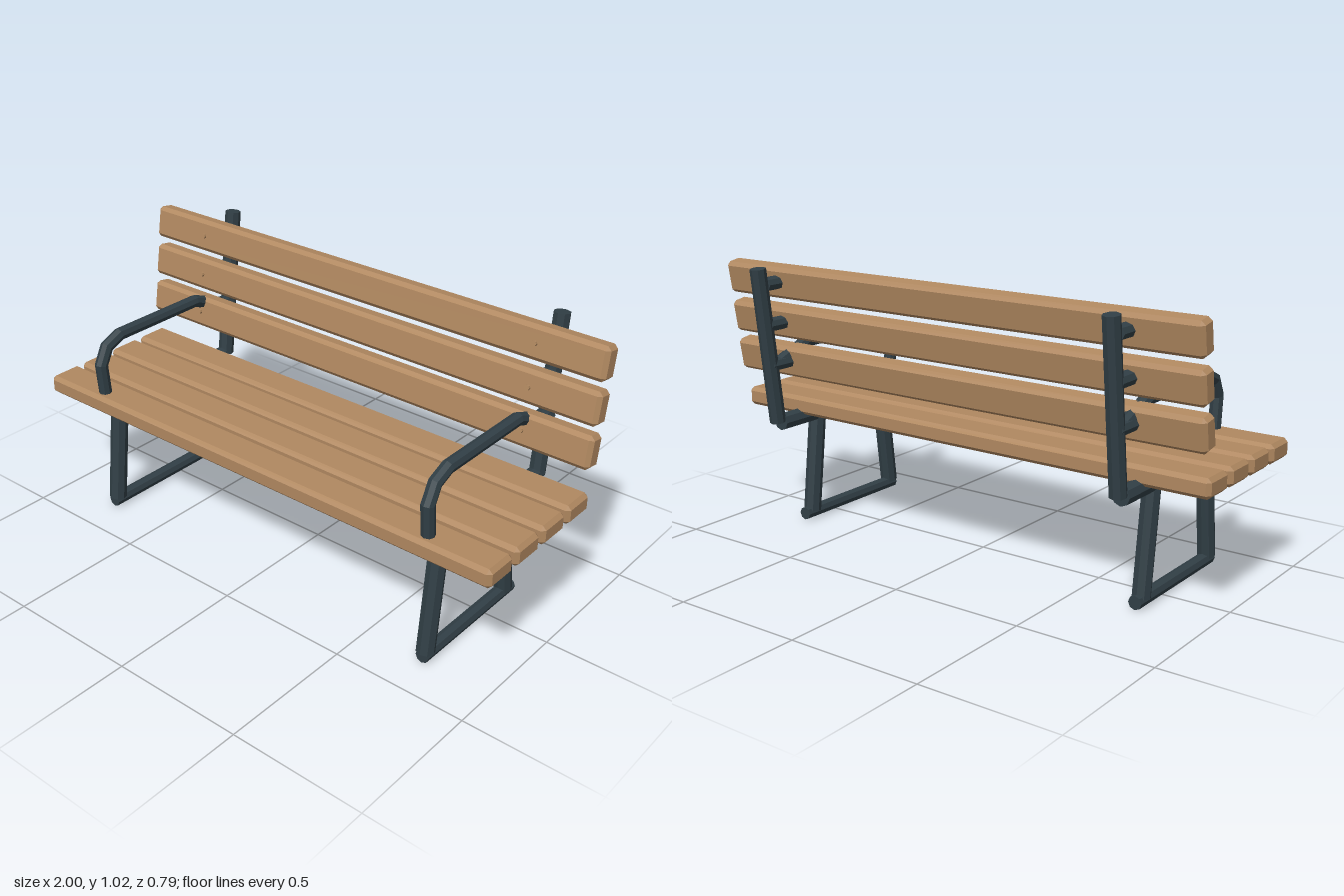
import * as THREE from 'three';
import { ConvexGeometry } from 'three/addons/geometries/ConvexGeometry.js';

const wood = new THREE.MeshStandardMaterial({ color: 0xb08860, flatShading: true });
wood.name = 'wood';
const iron = new THREE.MeshStandardMaterial({ color: 0x313f46, flatShading: true });
iron.name = 'dark iron';

// Box with every edge chamfered by c
function chamferBox(w, h, d, c) {
  const points = [];
  for (const sx of [-0.5, 0.5]) for (const sy of [-0.5, 0.5]) for (const sz of [-0.5, 0.5]) {
    const p = [sx * w, sy * h, sz * d];
    const s = [sx, sy, sz];
    for (let full = 0; full < 3; full++) {
      points.push(new THREE.Vector3(...p.map((v, i) => (i === full ? v : v - 2 * s[i] * c))));
    }
  }
  return new ConvexGeometry(points);
}

// Capped eight-sided pipe along a [z, y] path, with mitred corners
function pipe(path, r, sides = 8) {
  const pts = path.map(([z, y]) => new THREE.Vector3(0, y, z));
  const pos = [], index = [], last = pts.length - 1;
  pts.forEach((p, i) => {
    const before = pts[i].clone().sub(pts[Math.max(i - 1, 0)]).normalize();
    const after = pts[Math.min(i + 1, last)].clone().sub(p).normalize();
    const t = before.clone().add(after).normalize();
    const stretch = 1 / t.dot(i < last ? after : before);
    for (let j = 0; j < sides; j++) {
      const a = (j / sides) * Math.PI * 2;
      const n = Math.sin(a) * r * stretch;
      pos.push(Math.cos(a) * r, p.y + t.z * n, p.z - t.y * n);
    }
  });
  const start = pts.length * sides, end = start + 1;
  pos.push(...pts[0].toArray(), ...pts[last].toArray());
  for (let j = 0; j < sides; j++) {
    const k = (j + 1) % sides;
    for (let i = 0; i < last; i++) {
      const a = i * sides, b = a + sides;
      index.push(a + j, a + k, b + j, a + k, b + k, b + j);
    }
    index.push(start, k, j, end, last * sides + j, last * sides + k);
  }
  const g = new THREE.BufferGeometry();
  g.setAttribute('position', new THREE.Float32BufferAttribute(pos, 3));
  g.setIndex(index);
  g.computeVertexNormals();
  return g;
}

function add(parent, name, geometry, material) {
  const mesh = new THREE.Mesh(geometry, material);
  mesh.name = name;
  parent.add(mesh);
  return mesh;
}

export function createModel() {
  const bench = new THREE.Group();
  bench.name = 'bench';
  const frameX = 0.74, lean = -0.165;
  const backSlats = [[-0.196, 0.648], [-0.217, 0.799], [-0.237, 0.951]];

  // Seat slats
  const seatGeometry = chamferBox(2, 0.07, 0.132, 0.014);
  for (const z of [0.331, 0.179, 0.027, -0.125]) {
    add(bench, 'seatSlat', seatGeometry, wood).position.set(0, 0.467, z);
  }

  // Leaning back slats, each with two bolt heads
  const backGeometry = chamferBox(2, 0.12, 0.072, 0.014);
  const boltGeometry = new THREE.CylinderGeometry(0.01, 0.01, 0.016, 8).rotateX(Math.PI / 2);
  for (const [z, y] of backSlats) {
    const rail = new THREE.Group();
    rail.name = 'backRail';
    rail.position.set(0, y, z);
    rail.rotation.x = lean;
    add(rail, 'backSlat', backGeometry, wood);
    for (const side of [-1, 1]) {
      add(rail, 'bolt', boltGeometry, wood).position.set(side * frameX, 0, 0.037);
    }
    bench.add(rail);
  }

  // Pipe frames at both ends
  const parts = [
    ['footBar', [[0.355, 0.025], [-0.17, 0.025]], 0.025],
    ['frontLeg', [[0.335, 0.035], [0.288, 0.43]], 0.033],
    ['rearLeg', [[-0.128, 0.03], [-0.08, 0.43]], 0.033],
    ['seatRail', [[0.3, 0.421], [-0.28, 0.421]], 0.033],
    ['backPost', [[-0.296, 0.425], [-0.365, 1.012]], 0.03],
    ['armrest', [[0.349, 0.46], [0.361, 0.617], [0.328, 0.681], [0.264, 0.708],
      [-0.131, 0.708], [-0.285, 0.648]], 0.024],
    ...backSlats.map(([z, y], i) => ['backBracket', [[z - 0.02, y], [-0.33 - i * 0.003, y]], 0.026]),
  ].map(([name, path, r]) => [name, pipe(path, r)]);

  for (const [name, side] of [['leftFrame', 1], ['rightFrame', -1]]) {
    const frame = new THREE.Group();
    frame.name = name;
    frame.position.x = side * frameX;
    for (const [part, geometry] of parts) {
      const mesh = add(frame, part, geometry, iron);
      if (part === 'backBracket') mesh.scale.x = 1.2;
    }
    bench.add(frame);
  }
  return bench;
}
